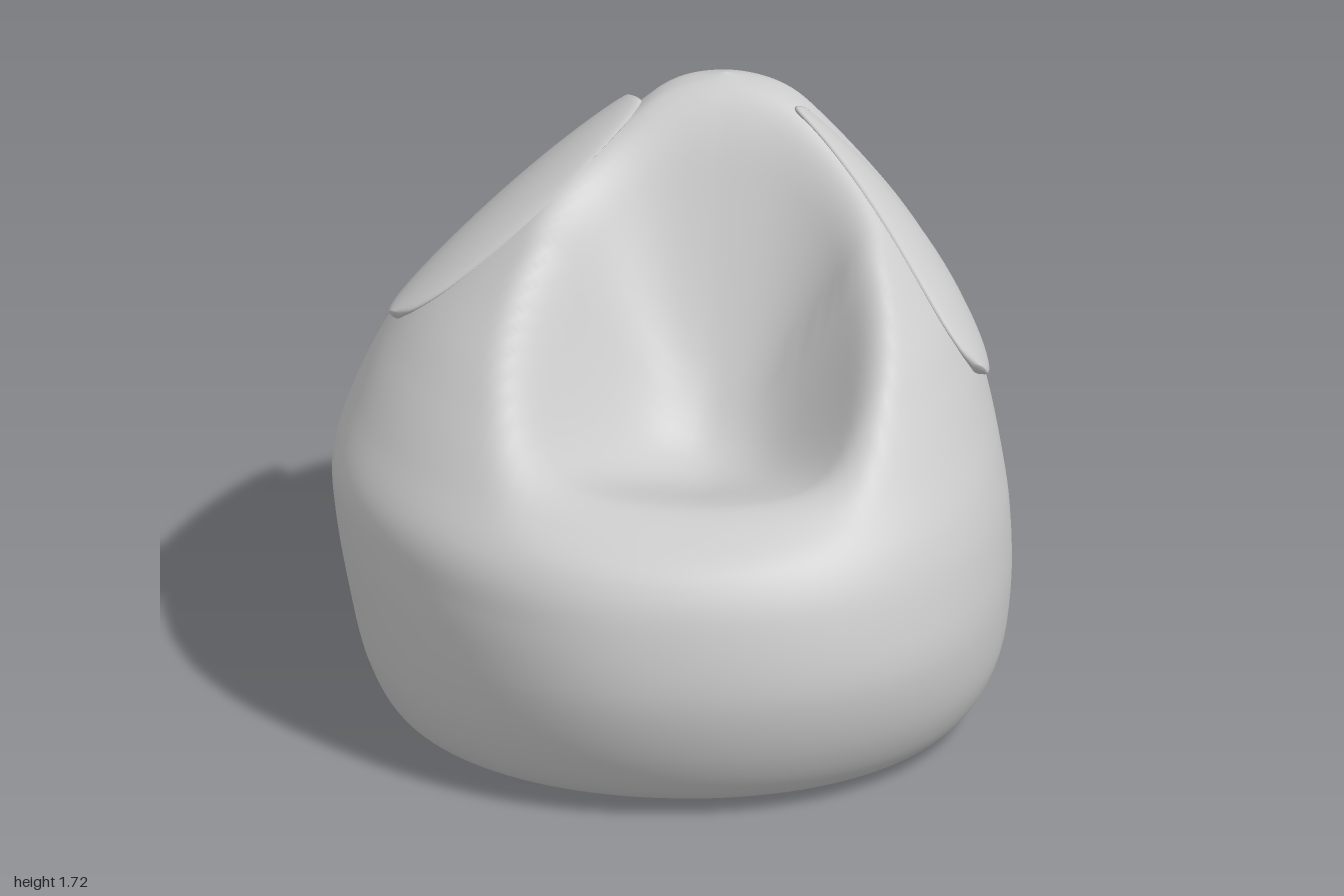
import * as THREE from 'three';

const material = new THREE.MeshStandardMaterial({ color: 0xcccccc, side: THREE.DoubleSide });

// Smooth closed skin over rings of points: point(t, angle), t from 0 to 1
function loft(name, rows, cols, point) {
  const positions = [], index = [];
  for (let i = 0; i <= rows; i++) {
    for (let j = 0; j < cols; j++) {
      positions.push(...point(i / rows, (j / cols) * Math.PI * 2).toArray());
    }
  }
  for (let i = 0; i < rows; i++) {
    for (let j = 0; j < cols; j++) {
      const k = (j + 1) % cols;
      const a = i * cols + j, b = (i + 1) * cols + j, c = (i + 1) * cols + k, d = i * cols + k;
      index.push(a, b, d, b, c, d);
    }
  }
  const geometry = new THREE.BufferGeometry();
  geometry.setAttribute('position', new THREE.Float32BufferAttribute(positions, 3));
  geometry.setIndex(index);
  geometry.computeVertexNormals();
  const mesh = new THREE.Mesh(geometry, material);
  mesh.name = name;
  return mesh;
}

// Horizontal ovals of the bag: y, x min, x max, z back, z front
const OVALS = [
  [0.01, 0.02, 0.02, 0.06, 0.06],
  [0.01, -0.4, 0.42, -0.33, 0.45],
  [0.02, -0.7, 0.75, -0.57, 0.7],
  [0.06, -0.81, 0.87, -0.69, 0.86],
  [0.2, -0.89, 0.955, -0.805, 0.955],
  [0.4, -0.94, 0.983, -0.89, 1.0],
  [0.6, -0.98, 0.974, -0.95, 0.975],
  [0.75, -0.99, 0.947, -0.982, 0.91],
  [0.9, -0.935, 0.905, -0.993, 0.76],
  [1.05, -0.85, 0.853, -0.965, 0.6],
  [1.2, -0.72, 0.78, -0.9, 0.435],
  [1.4, -0.48, 0.635, -0.8, 0.17],
  [1.6, -0.2, 0.42, -0.7, -0.2],
  [1.69, -0.06, 0.28, -0.64, -0.42],
  [1.73, 0.1, 0.1, -0.55, -0.55],
];
const widths = new THREE.CatmullRomCurve3(
  OVALS.map(([y, a, b]) => new THREE.Vector3(a, y, b)), false, 'catmullrom', 0.5);
const depths = new THREE.CatmullRomCurve3(
  OVALS.map(([y, , , a, b]) => new THREE.Vector3(a, y, b)), false, 'catmullrom', 0.5);

// Rounded ramp: 0 for negative t, t for positive t
const ramp = (t, e) => (Math.sqrt(t * t + e * e) + t) / 2;

// Height of the sat-in hollow: floor, side walls spreading to the front, backrest
function seatHeight(x, z) {
  const floor = 0.68 + 0.18 * THREE.MathUtils.smoothstep(z, 0.05, 0.72);
  const halfWidth = 0.1 + 0.62 * Math.max(0, z + 0.05);
  const side = 1.9 * ramp(Math.abs(x - 0.1) - halfWidth, 0.16);
  const back = 2.3 * ramp(-z - 0.01, 0.14);
  return floor + Math.hypot(side, back);
}

function smoothMin(a, b, k) {
  const h = Math.max(k - Math.abs(a - b), 0) / k;
  return Math.min(a, b) - h * h * k / 4;
}

function bagPoint(t, angle) {
  const w = widths.getPoint(t), d = depths.getPoint(t);
  // plan skewed towards two opposite corners, upper part fuller at the arms than at the back
  const skew = 0.19 * THREE.MathUtils.smoothstep(w.y, 0, 0.5);
  const upper = THREE.MathUtils.smoothstep(w.y, 0.6, 1.2);
  const squareness = 2.05 + skew * Math.sin(2 * angle) * (1 - 0.4 * upper)
    + upper * (0.03 + 0.2 * Math.sin(angle));
  const round = (v) => Math.sign(v) * Math.abs(v) ** (2 / squareness);
  const x = (w.x + w.z) / 2 + (w.z - w.x) / 2 * round(Math.cos(angle));
  const z = (d.x + d.z) / 2 + (d.z - d.x) / 2 * round(Math.sin(angle));
  const y = Math.max(0, w.y);
  const softness = 0.16 * THREE.MathUtils.smoothstep(y, 0.45, 0.9) + 0.001;
  return new THREE.Vector3(x, y > 0.5 ? smoothMin(y, seatHeight(x, z), softness) : y, z);
}

// Flat floppy ear: blunt root, wide rounded end
const earWidth = new THREE.SplineCurve([
  [0, 0.06], [0.04, 0.09], [0.15, 0.125], [0.32, 0.16], [0.52, 0.178], [0.72, 0.17],
  [0.88, 0.135], [0.97, 0.08], [1, 0.025],
].map(([x, y]) => new THREE.Vector2(x, y)));

function ear(name, root, middle, end, across, outward) {
  const [a, m, b, side, out] = [root, middle, end, across, outward].map((p) => new THREE.Vector3(...p));
  const control = m.clone().multiplyScalar(2).addScaledVector(a, -0.5).addScaledVector(b, -0.5);
  const spine = new THREE.QuadraticBezierCurve3(a, control, b);
  side.normalize();
  return loft(name, 32, 20, (t, angle) => {
    // the first and last rows close the ends
    const s = THREE.MathUtils.clamp((t * 32 - 1) / 30, 0, 1);
    const closed = t === 0 || t === 1 ? 0 : 1;
    const profile = earWidth.getPoint(s);
    const u = THREE.MathUtils.clamp(profile.x, 0, 1);
    const normal = side.clone().cross(spine.getTangent(u)).normalize();
    const offset = profile.y * Math.cos(angle) * closed;
    // edges curl down onto the bag
    const lift = Math.sign(normal.dot(out)) * (0.018 - 0.8 * offset * offset);
    return spine.getPoint(u)
      .addScaledVector(side, offset)
      .addScaledVector(normal, 0.016 * Math.sin(angle) * closed + lift);
  });
}

export function createModel() {
  const group = new THREE.Group();
  group.name = 'beanbagChair';
  group.add(loft('bag', 150, 112, bagPoint));
  group.add(ear('leftEar', [0.34, 1.66, -0.39], [0.665, 1.41, -0.17], [0.88, 1.1, 0.1],
    [0.16, -0.24, -0.2], [1, 0.8, 0.2]));
  group.add(ear('rightEar', [-0.16, 1.61, -0.56], [-0.48, 1.395, -0.33], [-0.81, 1.11, -0.1],
    [-0.19, -0.13, -0.3], [-1, 1, 0.2]));
  return group;
}
